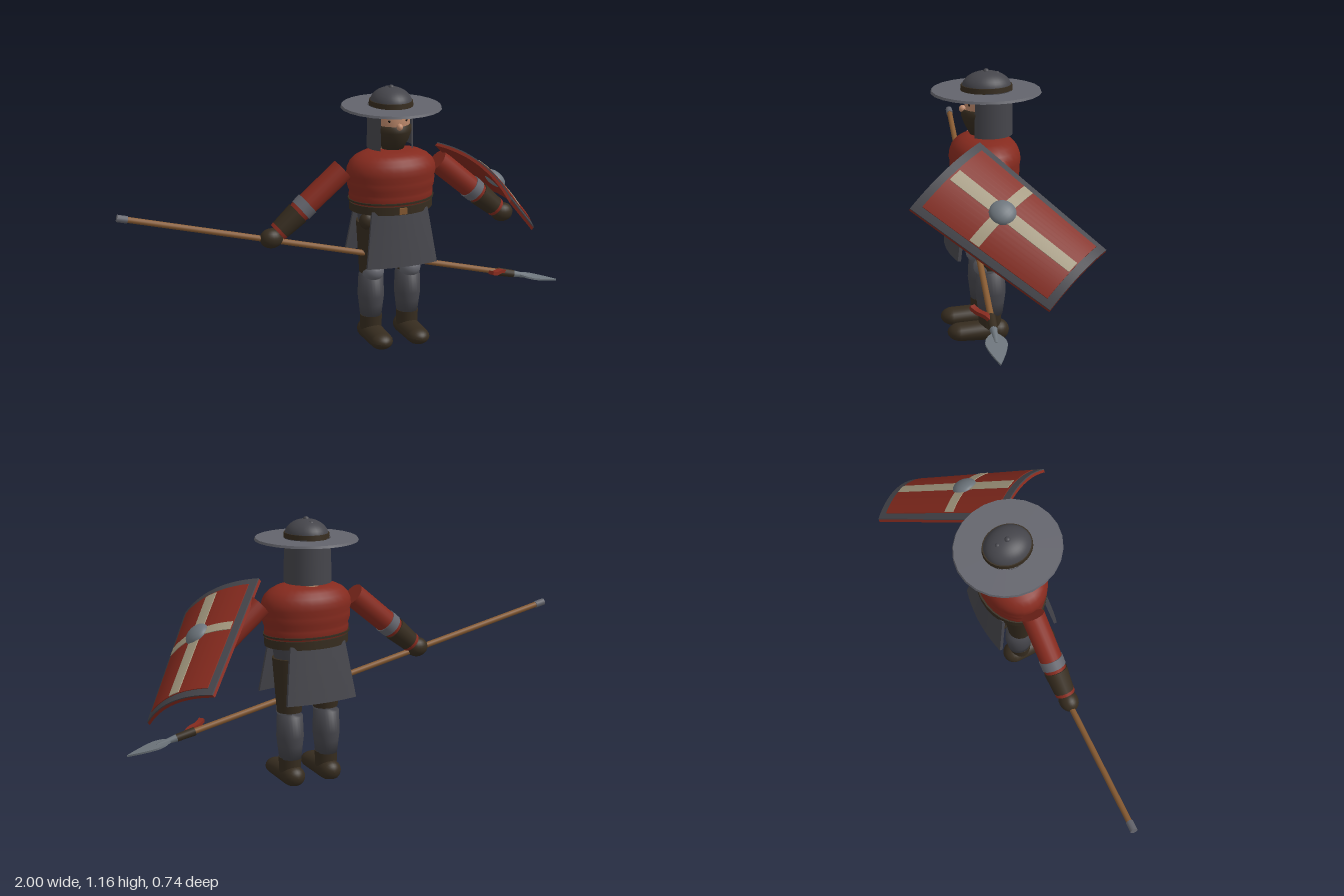
import * as THREE from 'three';

const mat = (name, color, double) => {
  const m = new THREE.MeshStandardMaterial({ color });
  m.name = name;
  if (double) m.side = THREE.DoubleSide;
  return m;
};

export function createModel() {
  const red = mat('red cloth', 0x852a1e), mail = mat('dark mail', 0x45454b, true);
  const iron = mat('iron', 0x63646c), steel = mat('pale steel', 0x6d757c);
  const brown = mat('dark leather', 0x362c1f), wood = mat('wood', 0x865a32);
  const skin = mat('skin', 0xc08b6d), cream = mat('cream paint', 0xa79c82);
  const black = mat('black', 0x17130f);
  const V = (x, y, z) => new THREE.Vector3(x, y, z);
  const CX = 0.206;
  const root = new THREE.Group();
  root.name = 'soldier';

  const add = (parent, name, geo, material, x = 0, y = 0, z = 0, sx = 1, sy = 1, sz = 1) => {
    const m = new THREE.Mesh(geo, material);
    m.name = name;
    m.position.set(x, y, z);
    m.scale.set(sx, sy, sz);
    parent.add(m);
    return m;
  };
  const ball = (r) => new THREE.SphereGeometry(r, 20, 14);
  const lathe = (pts, start = 0, len = Math.PI * 2) =>
    new THREE.LatheGeometry(pts.map(([r, y]) => new THREE.Vector2(r, y)), 28, start, len);
  const group = (name, x = 0) => {
    const g = new THREE.Group();
    g.name = name;
    g.position.x = x;
    root.add(g);
    return g;
  };
  // round bar between two points
  const bar = (parent, name, a, b, ra, rb, material, sides = 16) => {
    const m = add(parent, name, new THREE.CylinderGeometry(rb, ra, a.distanceTo(b), sides), material);
    m.position.copy(a).lerp(b, 0.5);
    m.quaternion.setFromUnitVectors(V(0, 1, 0), b.clone().sub(a).normalize());
    return m;
  };
  // move every vertex of a geometry by a rule
  const warp = (geo, rule) => {
    const p = geo.attributes.position, v = V(0, 0, 0);
    for (let i = 0; i < p.count; i++) {
      rule(v.fromBufferAttribute(p, i));
      p.setXYZ(i, v.x, v.y, v.z);
    }
    geo.computeVertexNormals();
    return geo;
  };

  // torso, padded with soft rolls
  const body = group('body', CX);
  add(body, 'paddedJacket', lathe([[0.15, 0.63], [0.18, 0.64], [0.19, 0.665], [0.191, 0.69], [0.189, 0.7],
    [0.197, 0.72], [0.199, 0.745], [0.197, 0.758], [0.203, 0.78], [0.2, 0.805], [0.188, 0.83],
    [0.167, 0.85], [0.135, 0.866], [0.09, 0.875], [0, 0.877]]), red, 0, 0, -0.01, 1, 1, 0.73);
  add(body, 'belt', new THREE.CylinderGeometry(0.189, 0.189, 0.036, 28), brown, 0, 0.634, -0.01, 1, 1, 0.76);
  add(body, 'upperBelt', new THREE.CylinderGeometry(0.195, 0.195, 0.008, 28), brown, 0, 0.664, -0.01, 1, 1, 0.75);
  add(body, 'buckle', new THREE.BoxGeometry(0.035, 0.028, 0.009), wood, 0, 0.634, 0.135);
  add(body, 'hips', lathe([[0, 0.47], [0.08, 0.475], [0.13, 0.5], [0.148, 0.56], [0.16, 0.63]]), mail, 0, 0, -0.01, 1, 1, 0.62);
  add(body, 'pouch', ball(0.04), brown, -0.13, 0.58, 0.05, 1, 1, 0.8);
  add(body, 'neck', new THREE.CylinderGeometry(0.042, 0.045, 0.08, 18), skin, 0, 0.89, -0.045);

  // flared skirt panels, front and back
  for (const [name, s] of [['frontSkirt', 1], ['backSkirt', -1]]) {
    add(body, name, warp(new THREE.BoxGeometry(2, 1, 0.014, 10, 4, 1), (v) => {
      const t = 0.5 - v.y;
      const e = v.x;
      v.x = e * (0.13 + 0.034 * t);
      v.y = 0.63 - 0.245 * t;
      v.z = -0.01 + v.z + s * (0.122 + 0.036 * t - 0.02 * e * e);
    }), mail);
  }

  // head
  const head = group('head', CX);
  add(head, 'face', lathe([[0, 0.89], [0.05, 0.9], [0.068, 0.94], [0.078, 0.99], [0.08, 1.03], [0.076, 1.075], [0, 1.09]]),
    skin, 0, 0, -0.008, 1, 1, 1.03);
  add(head, 'beard', lathe([[0, 0.878], [0.052, 0.886], [0.074, 0.93], [0.086, 0.965], [0.086, 0.985], [0.076, 0.994]],
    -1.4, 2.8), brown, 0, 0, -0.002, 0.97, 1, 1.05);
  add(head, 'nose', ball(0.014), skin, 0, 0.994, 0.083, 1, 1.1, 1.1);
  for (const s of [-1, 1])
    add(head, 'eye', ball(0.008), black, s * 0.036, 1.018, 0.061, 1.1, 0.8, 0.6);
  add(head, 'mailHood', new THREE.CylinderGeometry(0.098, 0.102, 0.19, 28, 1, true, 0.78, Math.PI * 2 - 1.56),
    mail, 0, 0.98, -0.026);

  // wide brimmed iron hat
  add(head, 'hatBrim', new THREE.CylinderGeometry(0.214, 0.218, 0.01, 24), iron, 0, 1.067, -0.016, 1, 1, 1.06);
  add(head, 'hatBand', new THREE.CylinderGeometry(0.093, 0.095, 0.024, 28), brown, 0, 1.082, -0.018, 1, 1, 1.15);
  add(head, 'hatDome', new THREE.SphereGeometry(0.09, 28, 12, 0, Math.PI * 2, 0, Math.PI / 2), mail,
    0, 1.083, -0.018, 1, 0.75, 1.15);
  add(head, 'hatKnob', ball(0.013), mail, 0, 1.147, -0.016);
  add(head, 'hatRivet', ball(0.012), mail, 0, 1.135, -0.062);

  // legs and arms, mirrored about the body's centre line
  for (const s of [-1, 1]) {
    const leg = group(s > 0 ? 'leftLeg' : 'rightLeg', CX + s * 0.088);
    bar(leg, 'thigh', V(0, 0.32, -0.015), V(-s * 0.006, 0.56, -0.012), 0.054, 0.076, brown, 20);
    add(leg, 'kneeCap', ball(0.05), iron, 0, 0.326, 0.004, 1, 0.88, 1);
    add(leg, 'shinGuard', lathe([[0, 0.112], [0.05, 0.112], [0.057, 0.17], [0.062, 0.21], [0.058, 0.305], [0, 0.309]]),
      mail, 0, 0, -0.02, 0.95, 1, 1.04);
    add(leg, 'bootCuff', new THREE.CylinderGeometry(0.05, 0.048, 0.07, 20), brown, 0, 0.082, -0.017);
    const boot = new THREE.CapsuleGeometry(0.051, 0.163, 8, 20).rotateX(Math.PI / 2);
    add(leg, 'boot', warp(boot, (v) => {
      v.y = Math.max(0, 0.034 + v.y * (0.82 - 1.0 * v.z));
      v.z += 0.0325;
    }), brown);

    const arm = group(s > 0 ? 'leftArm' : 'rightArm', CX);
    const from = V(s * 0.222, 0.802, -0.018), to = V(s * 0.545, 0.53, -0.018);
    const at = (t) => from.clone().lerp(to, t);
    bar(arm, 'sleeve', at(0), at(0.58), 0.052, 0.05, red, 20);
    bar(arm, 'elbowBand', at(0.5), at(0.6), 0.054, 0.053, iron, 20);
    bar(arm, 'lowerSleeve', at(0.58), at(0.66), 0.05, 0.047, red, 20);
    bar(arm, 'bracer', at(0.64), at(0.89), 0.053, 0.045, brown, 12);
    bar(arm, 'cuff', at(0.89), at(0.925), 0.045, 0.044, red, 20);
    add(arm, 'glove', ball(0.046), brown, s * 0.55, 0.527, -0.017, 1.12, 0.95, 0.92);
  }

  // spear
  const spear = group('spear');
  const butt = V(-0.998, 0.674, -0.07), tip = V(0.998, 0.2, 0.085);
  const on = (t) => butt.clone().lerp(tip, t);
  bar(spear, 'shaft', on(0.01), on(0.87), 0.013, 0.013, wood, 12);
  bar(spear, 'buttCap', on(0), on(0.022), 0.016, 0.016, iron, 12);
  bar(spear, 'binding', on(0.852), on(0.892), 0.019, 0.017, brown, 12);
  bar(spear, 'socket', on(0.892), on(0.935), 0.016, 0.007, steel, 12);
  const leaf = new THREE.Shape();
  leaf.moveTo(0.008, 0);
  leaf.quadraticCurveTo(0.048, 0.035, 0.043, 0.075);
  leaf.quadraticCurveTo(0.034, 0.125, 0, 0.195);
  leaf.quadraticCurveTo(-0.034, 0.125, -0.043, 0.075);
  leaf.quadraticCurveTo(-0.048, 0.035, -0.008, 0);
  const blade = add(spear, 'blade', new THREE.ExtrudeGeometry(leaf, { depth: 0.008, bevelEnabled: false })
    .translate(0, 0, -0.004), steel);
  const along = tip.clone().sub(butt).normalize();
  const across = V(0, 0, 1).addScaledVector(along, -along.z).normalize();
  blade.quaternion.setFromRotationMatrix(new THREE.Matrix4().makeBasis(across, along, across.clone().cross(along)));
  blade.position.copy(tip).addScaledVector(along, -0.195);
  // ribbon trailing from the binding
  const ribbon = add(spear, 'ribbon', warp(new THREE.BoxGeometry(0.026, 0.016, 0.12, 1, 1, 8), (v) => {
    v.y += 0.005 * Math.sin(v.z * 50);
  }), red, 0.69, 0.28, 0.095);
  ribbon.lookAt(0.74, 0.265, 0.062);

  // shield curved across its width, narrower at its lower end
  const shield = group('shield');
  const u = V(0.57, -0.486, -0.664).normalize(), n = V(0.66, 0.75, 0.02).normalize();
  const w = n.clone().cross(u).normalize();
  shield.quaternion.setFromRotationMatrix(new THREE.Matrix4().makeBasis(u, w, u.clone().cross(w)));
  shield.position.set(0.697, 0.643, -0.017);
  const L = 0.338, W = 0.195, SAG = 0.045;
  const plate = (name, x0, x1, y0, y1, z0, z1, material) =>
    add(shield, name, warp(new THREE.BoxGeometry(1, 1, 1, 1, 16, 1), (v) => {
      const x = x0 + (v.x + 0.5) * (x1 - x0);
      const y = y0 + (v.y + 0.5) * (y1 - y0);
      v.set(x, y * (1 - 0.09 * x / L), SAG * (1 - (y / W) ** 2) + z0 + (v.z + 0.5) * (z1 - z0));
    }), material);
  plate('shieldBack', -L, L, -W, W, -0.018, -0.005, red);
  plate('shieldRim', -L, L, -W, W, -0.005, 0, mail);
  plate('shieldFace', -L + 0.035, L - 0.035, -W + 0.028, W - 0.028, -0.004, 0.003, red);
  plate('longStripe', -0.295, 0.3, -0.028, 0.028, 0, 0.006, cream);
  plate('crossStripe', -0.073, -0.027, -0.165, 0.165, 0, 0.006, cream);
  add(shield, 'shieldBoss', ball(0.055), steel, -0.05, 0, SAG, 1, 1, 0.55);

  return root;
}
